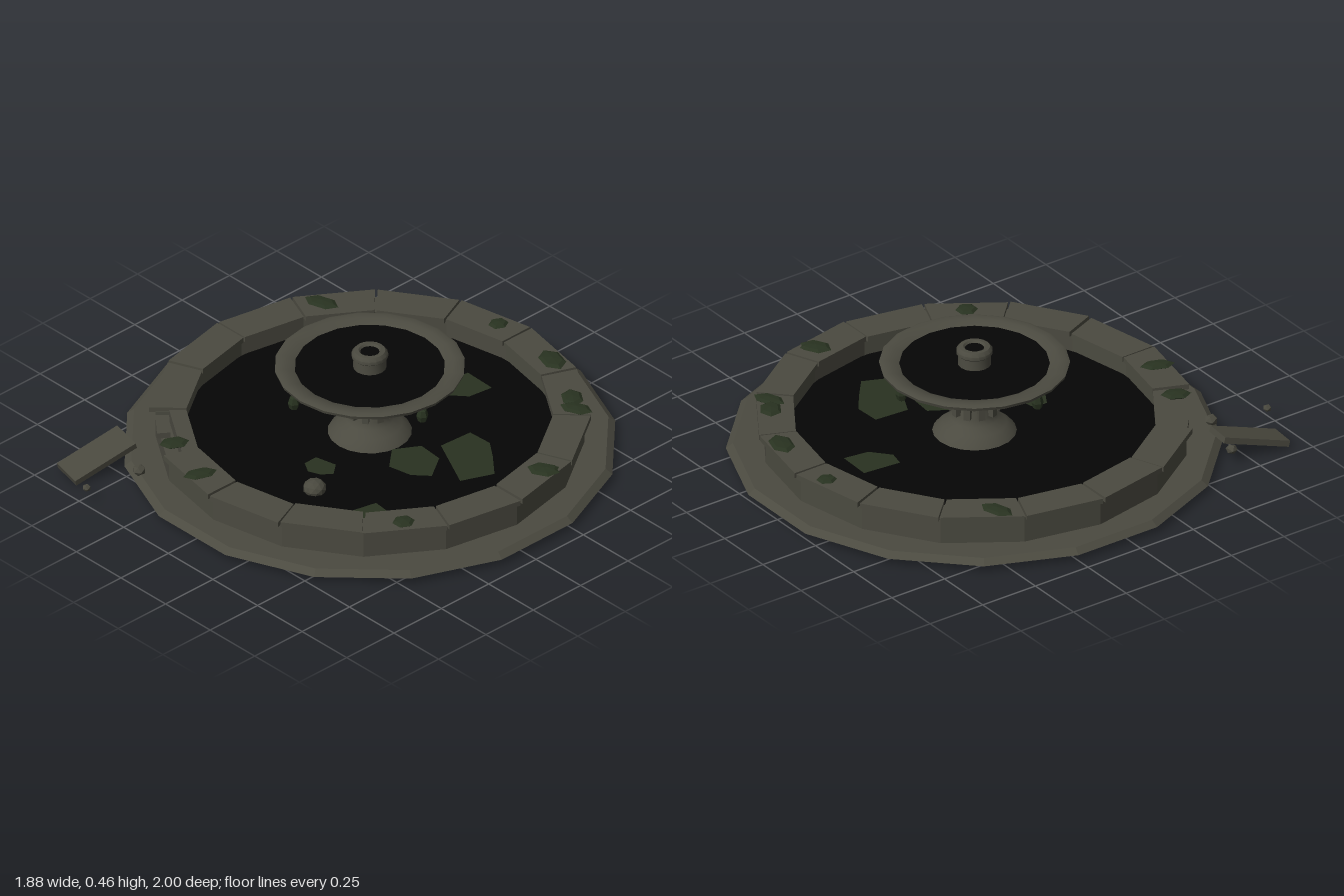
import * as THREE from 'three';
import { toCreasedNormals } from 'three/addons/utils/BufferGeometryUtils.js';

const mat = (name, color, extra = {}) => {
  const m = new THREE.MeshStandardMaterial({ color, ...extra });
  m.name = name;
  return m;
};

export function createModel() {
  const stone = mat('stone', 0x4b4a40);
  const rubbleStone = mat('rubbleStone', 0x49483e, { flatShading: true });
  const water = mat('darkWater', 0x050505);
  const moss = mat('moss', 0x283220, { flatShading: true });
  const leaf = mat('leaf', 0x293220, { side: THREE.DoubleSide });

  const model = new THREE.Group();
  model.name = 'ruinedFountain';
  const fountain = new THREE.Group();
  fountain.name = 'fountain';
  fountain.position.z = -0.064;
  model.add(fountain);

  let seed = 7;
  const rand = () => (seed = (seed * 16807) % 2147483647) / 2147483647;

  const add = (parent, name, geo, material, x = 0, y = 0, z = 0) => {
    const mesh = new THREE.Mesh(geo, material);
    mesh.name = name;
    mesh.position.set(x, y, z);
    parent.add(mesh);
    return mesh;
  };

  // straight-sided block of a ring, angles measured from +z towards +x
  const block = (r0, r1, a0, a1, y0, y1) => {
    const p = (r, a) => new THREE.Vector2(r * Math.sin(a), -r * Math.cos(a));
    const shape = new THREE.Shape([p(r0, a0), p(r1, a0), p(r1, a1), p(r0, a1)]);
    const geo = new THREE.ExtrudeGeometry(shape, { depth: y1 - y0, bevelEnabled: false });
    return geo.rotateX(-Math.PI / 2).translate(0, y0, 0);
  };

  const lathe = (points, sides) => toCreasedNormals(
    new THREE.LatheGeometry(points.map(([r, y]) => new THREE.Vector2(r, y)), sides), 0.7);

  const disc = (r, sides) => new THREE.CircleGeometry(r, sides).rotateX(-Math.PI / 2);

  // sixteen-sided plinth with a sloping edge
  const N = 16, step = (Math.PI * 2) / N;
  const plinth = new THREE.CylinderGeometry(0.93, 0.957, 0.022, N).rotateY(step / 2);
  add(fountain, 'plinth', toCreasedNormals(plinth, 0.2), stone, 0, 0.038, 0);

  // basin wall and coping, with one broken section at the front right
  const broken = 14;
  for (let i = 0; i < N; i++) {
    const a0 = i * step, a1 = a0 + step;
    if (i === broken) {
      add(fountain, 'brokenWallInner', block(0.72, 0.772, a0, a1, 0.045, 0.155), stone);
      add(fountain, 'brokenWallOuter', block(0.772, 0.825, a0, a1, 0.045, 0.118), stone);
      add(fountain, 'brokenWallStub', block(0.772, 0.825, a0, a0 + step * 0.4, 0.118, 0.142), stone);
      add(fountain, 'brokenCoping', block(0.705, 0.772, a0, a1, 0.155, 0.166), stone);
      continue;
    }
    add(fountain, 'basinWall', block(0.72, 0.825, a0, a1, 0.045, 0.158), stone);
    const top = 0.172 + rand() * 0.006;
    add(fountain, 'copingStone', block(0.705, 0.85, a0 + 0.006, a1 - 0.006, top - 0.022, top), stone);
  }
  add(fountain, 'basinWater', disc(0.73, N).rotateY(step / 2), water, 0, 0.088, 0);

  // pedestal, upper bowl and spout
  add(fountain, 'pedestal', lathe([
    [0.165, 0.085], [0.155, 0.1], [0.125, 0.125], [0.092, 0.148], [0.078, 0.172],
    [0.075, 0.225], [0.069, 0.238], [0.08, 0.252], [0.092, 0.274],
  ], 20), stone);
  for (let i = 0; i < 10; i++) {
    const a = (i * Math.PI) / 5;
    const rib = add(fountain, 'pedestalRib', new THREE.BoxGeometry(0.026, 0.052, 0.026), stone,
      0.085 * Math.sin(a), 0.206, 0.085 * Math.cos(a));
    rib.rotation.y = a;
  }
  add(fountain, 'upperBowl', lathe([
    [0.0, 0.266], [0.085, 0.271], [0.17, 0.289], [0.26, 0.322], [0.33, 0.358], [0.364, 0.376],
    [0.368, 0.389], [0.354, 0.395], [0.325, 0.393], [0.29, 0.383], [0.27, 0.37],
  ], 20), stone);
  add(fountain, 'bowlWater', disc(0.291, 20), water, 0, 0.383, 0);
  add(fountain, 'spout', lathe([
    [0.065, 0.38], [0.063, 0.424], [0.071, 0.431], [0.071, 0.445],
    [0.06, 0.458], [0.044, 0.459], [0.034, 0.448],
  ], 16), stone);
  add(fountain, 'spoutHole', disc(0.038, 10), water, 0, 0.451, 0);

  // moss hanging beneath the bowl rim: x, z
  for (const [x, z] of [[-0.06, 0.345], [0.342, 0.045], [-0.33, 0.06], [0.03, -0.325]]) {
    const drip = add(fountain, 'hangingMoss', new THREE.SphereGeometry(1, 6, 4), moss, x, 0.342, z);
    drip.scale.set(0.024, 0.034, 0.024);
  }

  // moss clumps on the coping: x, z, length, width, turn
  const clumps = [
    [-0.105, -0.842, 0.038, 0.042, 0], [0.22, -0.82, 0.075, 0.05, -0.3],
    [0.465, -0.695, 0.06, 0.045, -0.6], [0.53, -0.655, 0.068, 0.04, 0.4],
    [0.755, -0.27, 0.066, 0.05, 0.5], [0.765, -0.28, 0.05, 0.035, 1.2],
    [0.65, 0.37, 0.043, 0.045, 0], [-0.355, 0.635, 0.06, 0.042, 1.1],
    [-0.13, 0.71, 0.07, 0.038, 1.2], [-0.68, -0.45, 0.074, 0.042, 0.3],
  ];
  for (const [x, z, l, w, turn] of clumps) {
    const clump = add(model, 'mossClump', new THREE.SphereGeometry(1, 6, 4), moss, x, 0.176, z);
    clump.scale.set(l, 0.012, w);
    clump.rotation.y = turn;
  }

  // floating leaf mats as flat outlines: x, z pairs
  const mats = [
    [[-0.03, -0.61], [0.11, -0.605], [0.095, -0.5], [0.02, -0.435], [-0.045, -0.45]],
    [[0.28, -0.33], [0.385, -0.335], [0.46, -0.28], [0.555, -0.2], [0.5, -0.07], [0.27, -0.185]],
    [[0.39, 0.27], [0.48, 0.28], [0.492, 0.365], [0.45, 0.43], [0.36, 0.4]],
    [[0.22, -0.13], [0.33, -0.12], [0.4, -0.015], [0.34, 0.04], [0.24, 0.06], [0.16, -0.03]],
    [[0, 0.22], [0.09, 0.2], [0.13, 0.25], [0.1, 0.29], [0.05, 0.31], [0, 0.28]],
  ];
  for (const pts of mats) {
    const shape = new THREE.Shape(pts.map(([x, z]) => new THREE.Vector2(x, -z)));
    add(model, 'floatingLeaf', new THREE.ShapeGeometry(shape).rotateX(-Math.PI / 2), leaf, 0, 0.092, 0);
  }

  // fallen coping stone leaning on the plinth
  const slab = add(model, 'fallenSlab', new THREE.BoxGeometry(0.13, 0.025, 0.285), rubbleStone, -0.622, 0.06, 0.792);
  slab.rotation.set(0.28, -0.2, -0.1, 'YXZ');

  // loose rubble: x, y, z, radius
  const rubble = [
    [-0.435, 0.062, 0.745, 0.028], [-0.485, 0.06, 0.975, 0.018],
    [-0.665, 0.062, 0.675, 0.024], [0.16, 0.1, 0.378, 0.046],
  ];
  for (const [x, y, z, r] of rubble) {
    const rock = add(model, 'rubble', new THREE.IcosahedronGeometry(r, r > 0.04 ? 1 : 0), rubbleStone, x, y, z);
    rock.scale.y = 0.8;
    rock.rotation.y = rand() * 3;
  }
  return model;
}
